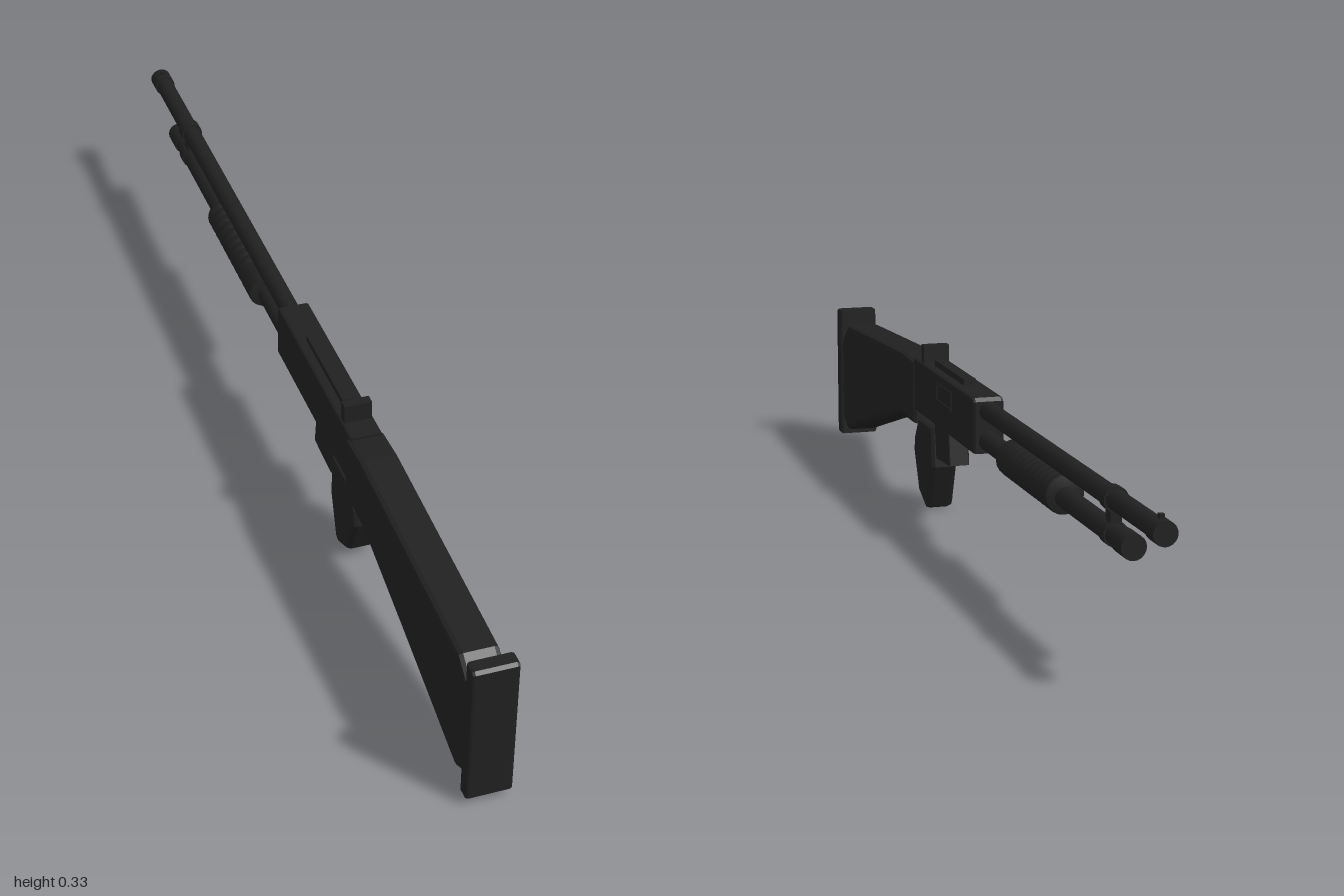
import * as THREE from 'three';

export function createModel() {
  const model = new THREE.Group();
  model.name = 'longGun';
  const black = new THREE.MeshStandardMaterial({ color: 0x202020 });
  black.name = 'matte black';

  const add = (name, geometry) => {
    const mesh = new THREE.Mesh(geometry, black);
    mesh.name = name;
    model.add(mesh);
    return mesh;
  };

  // Side outline of [z, y] points, extruded across x with chamfered edges
  const slab = (name, points, halfWidth, bevel) => {
    const shape = new THREE.Shape(points.map(([z, y]) => new THREE.Vector2(z, y)));
    const depth = 2 * (halfWidth - bevel);
    const g = new THREE.ExtrudeGeometry(shape, {
      depth, bevelEnabled: bevel > 0, bevelThickness: bevel,
      bevelSize: bevel, bevelOffset: -bevel, bevelSegments: 2,
    });
    g.translate(0, 0, -depth / 2).rotateY(-Math.PI / 2);
    return add(name, g);
  };

  // Box given by its extents
  const box = (name, x0, x1, y0, y1, z0, z1) => {
    const mesh = add(name, new THREE.BoxGeometry(x1 - x0, y1 - y0, z1 - z0));
    mesh.position.set((x0 + x1) / 2, (y0 + y1) / 2, (z0 + z1) / 2);
    return mesh;
  };

  // Cylinder along z
  const rod = (name, r, y, z0, z1) => {
    const g = new THREE.CylinderGeometry(r, r, z1 - z0, 20).rotateX(Math.PI / 2);
    const mesh = add(name, g);
    mesh.position.set(0, y, (z0 + z1) / 2);
    return mesh;
  };

  // Butt plate, with chamfered corners and edges
  slab('buttPlate', [
    [0.97, 0.015], [0.994, 0.015], [1, 0.021], [1, 0.295], [0.994, 0.3], [0.97, 0.3],
  ], 0.042, 0.006);

  // Stock
  slab('stock', [
    [0.972, 0.053], [0.972, 0.235], [0.922, 0.273], [0.436, 0.299], [0.36, 0.294],
    [0.36, 0.165], [0.4625, 0.166], [0.676, 0.107], [0.933, 0.032],
  ], 0.037, 0.01);

  // Receiver
  slab('receiver', [
    [0.372, 0.193], [0.372, 0.3], [-0.05, 0.3], [-0.057, 0.293], [-0.057, 0.193],
  ], 0.031, 0.006);

  // Frame around the ejection port, on the left side only
  const port = { z0: 0.088, z1: 0.195, y0: 0.245, y1: 0.283, t: 0.005 };
  box('portFrameTop', 0.029, 0.033, port.y1 - port.t, port.y1, port.z0, port.z1);
  box('portFrameBottom', 0.029, 0.033, port.y0, port.y0 + port.t, port.z0, port.z1);
  for (const z of [port.z0, port.z1 - port.t])
    box('portFrameEnd', 0.029, 0.033, port.y0, port.y1, z, z + port.t);

  // Sight rail and rear sight
  box('sightRail', -0.012, 0.012, 0.296, 0.312, 0.067, 0.275);
  box('rearSight', -0.026, 0.026, 0.296, 0.336, 0.307, 0.326);

  // Pistol grip
  slab('grip', [
    [0.356, 0.177], [0.382, 0.139], [0.388, 0.107], [0.35, 0.025], [0.3, 0.002],
    [0.286, 0.008], [0.254, 0.096], [0.26, 0.177],
  ], 0.028, 0.01);

  // Block under the receiver
  slab('lowerBlock', [
    [0.251, 0.2], [0.238, 0.118], [0.142, 0.124], [0.152, 0.2],
  ], 0.021, 0.003);

  // Barrel with muzzle ring and bead
  rod('barrel', 0.018, 0.275, -0.99, -0.05);
  rod('muzzleRing', 0.021, 0.275, -1, -0.962);
  box('frontBead', -0.004, 0.004, 0.29, 0.303, -0.985, -0.974);

  // Magazine tube with end cap
  rod('magazineTube', 0.019, 0.217, -0.83, -0.05);
  rod('tubeCap', 0.022, 0.217, -0.86, -0.81);

  // Clamp joining barrel and tube
  box('clampWeb', -0.01, 0.01, 0.217, 0.275, -0.775, -0.75);
  rod('clampUpperRing', 0.022, 0.275, -0.775, -0.75);
  rod('clampLowerRing', 0.022, 0.217, -0.775, -0.75);

  // Ribbed sliding fore-end
  const profile = [[0.001, -0.516], [0.033, -0.516], [0.036, -0.51]];
  const ribs = 9, start = -0.5, pitch = 0.026;
  for (let i = 0; i < ribs; i++) {
    const z = start + i * pitch;
    profile.push([0.036, z], [0.032, z + 0.004], [0.032, z + 0.01], [0.036, z + 0.014]);
  }
  profile.push([0.036, -0.223], [0.033, -0.217], [0.001, -0.217]);
  const foreEnd = new THREE.LatheGeometry(
    profile.map(([r, z]) => new THREE.Vector2(r, z)), 20).rotateX(Math.PI / 2);
  add('foreEnd', foreEnd).position.y = 0.221;

  return model;
}
